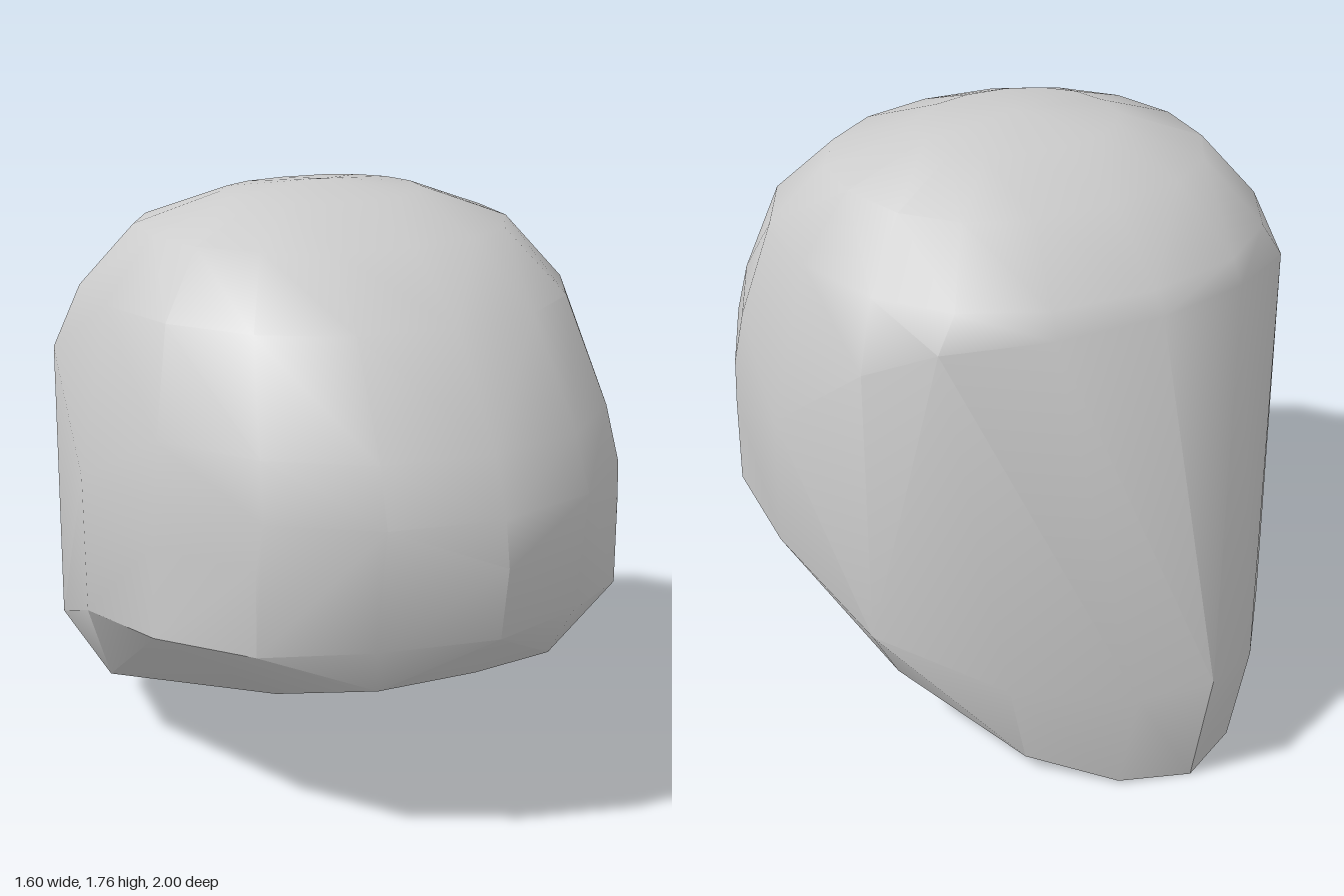
import * as THREE from 'three';
import { ConvexGeometry } from 'three/addons/geometries/ConvexGeometry.js';
import { toCreasedNormals } from 'three/addons/utils/BufferGeometryUtils.js';

// Crown rings: height, half width, reach to the front, reach to the back (0 = front half only)
const RINGS = [
  [1.0, 0.80, 0.98, 0],
  [1.16, 0.775, 0.92, 0],
  [1.46, 0.70, 0.73, 0.67],
  [1.64, 0.55, 0.50, 0.48],
  [1.73, 0.30, 0.25, 0.25],
];

// Right half of the face band, rear panel and jaw; mirrored below
const HALF = [
  // upper and lower edge of the face band
  [0, 0.87, 1.0], [0.32, 0.87, 0.87], [0.59, 0.87, 0.69], [0.75, 0.87, 0.385], [0.80, 0.98, 0.03],
  [0, 0.66, 0.97], [0.32, 0.645, 0.86], [0.59, 0.625, 0.69], [0.75, 0.605, 0.385], [0.80, 0.58, 0.04],
  // upper edge of the rear panel
  [0.72, 1.27, -0.345], [0.58, 1.36, -0.51], [0.31, 1.39, -0.66], [0, 1.40, -0.715],
  // lower edge of the rear panel
  [0.72, 0.43, -0.35], [0.45, 0.31, -0.65], [0.2, 0.35, -0.92], [0, 0.38, -1.0],
  // underside rim
  [0, 0.52, 0.85], [0.28, 0.505, 0.80], [0.49, 0.47, 0.61], [0.60, 0.22, -0.28],
  [0.39, 0.05, -0.64], [0.2, 0.01, -0.84], [0, 0, -0.92],
];

function crownPoints() {
  const points = [new THREE.Vector3(0, 1.76, 0)];
  for (const [y, width, front, back] of RINGS) {
    for (let i = 0; i < 16; i++) {
      const a = (i / 16) * Math.PI * 2;
      const c = Math.cos(a), s = Math.sin(a);
      if (back === 0 && s < 0.01) continue;
      // slightly squared oval
      const power = 2 / (s < 0 ? 2.3 : 2.1);
      const x = Math.sign(c) * Math.abs(c) ** power * width;
      const z = Math.sign(s) * Math.abs(s) ** power * (s < 0 ? back : front);
      points.push(new THREE.Vector3(x, y, z));
    }
  }
  return points;
}

export function createModel() {
  const group = new THREE.Group();
  group.name = 'headShell';

  const points = crownPoints();
  for (const [x, y, z] of HALF) {
    points.push(new THREE.Vector3(x, y, z));
    if (x > 0) points.push(new THREE.Vector3(-x, y, z));
  }

  // One closed shell, smooth over the crown and sharp at the jaw rim
  const shell = new THREE.Mesh(
    toCreasedNormals(new ConvexGeometry(points), 0.55),
    new THREE.MeshStandardMaterial({ color: 0xcccccc })
  );
  shell.name = 'shell';
  group.add(shell);
  return group;
}
